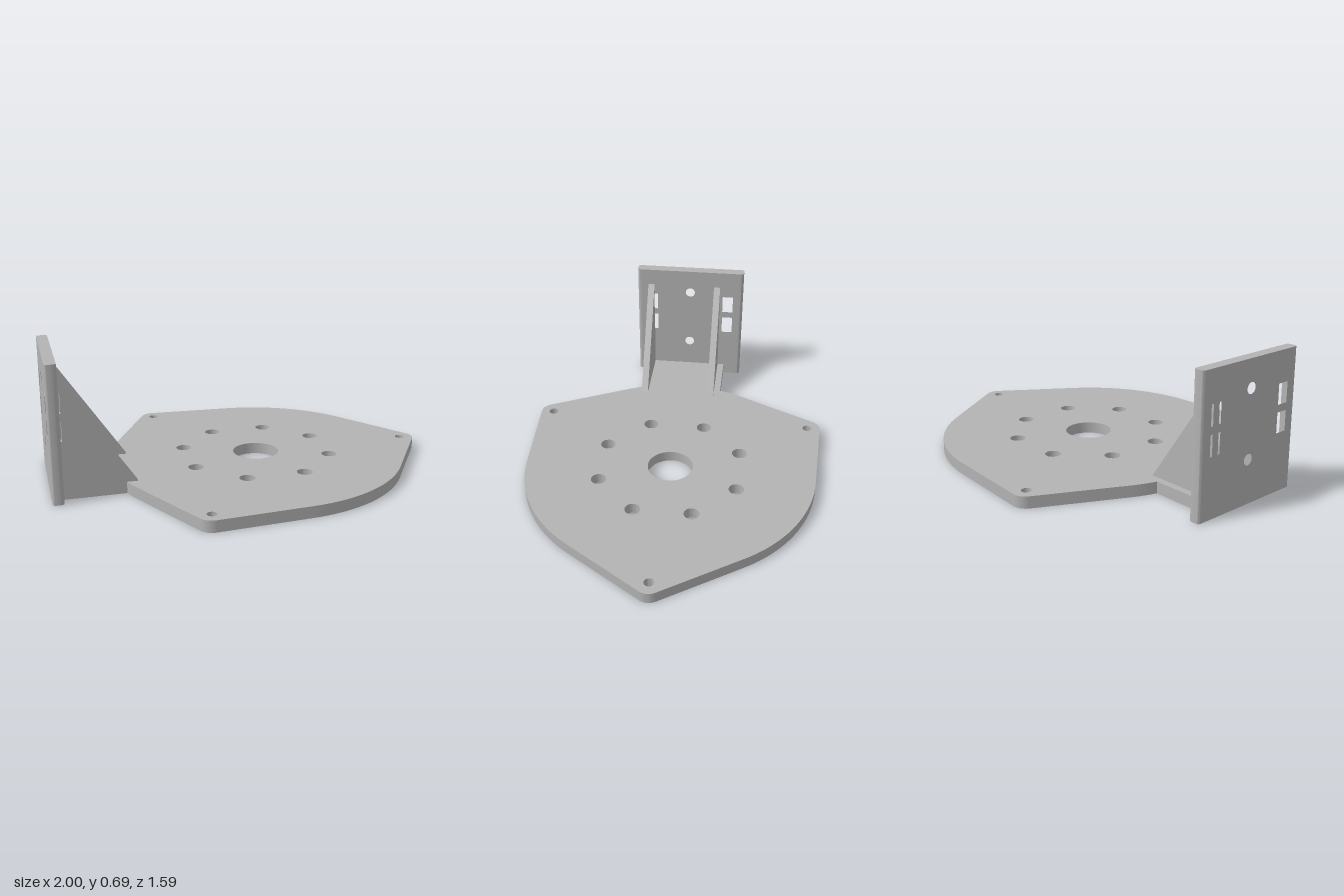
import * as THREE from 'three';
import { toCreasedNormals } from 'three/addons/utils/BufferGeometryUtils.js';

const grey = new THREE.MeshStandardMaterial({ color: 0xb3b3b3 });
grey.name = 'grey';

const extrude = (shape, depth) => toCreasedNormals(
  new THREE.ExtrudeGeometry(shape, { depth, bevelEnabled: false, curveSegments: 28 }), 0.5);

const part = (name, geometry) => {
  const mesh = new THREE.Mesh(geometry, grey);
  mesh.name = name;
  return mesh;
};

const circle = (x, y, r) => new THREE.Path().absarc(x, y, r, 0, Math.PI * 2, true);

const rect = (x0, y0, x1, y1) => new THREE.Path([
  [x0, y0], [x0, y1], [x1, y1], [x1, y0], [x0, y0],
].map(p => new THREE.Vector2(...p)));

// Three-cornered base: a large disc blended by tangents into three small lobes
function basePlate() {
  const cx = 0.09, R = 0.77, lobe = 0.07, reach = 0.84;
  const phi = Math.acos((R - lobe) / reach);
  const third = Math.PI * 2 / 3;
  const shape = new THREE.Shape();
  for (let k = 0; k < 3; k++) {
    const a = k * third;
    const hx = cx + reach * Math.cos(a), hy = reach * Math.sin(a);
    shape.absarc(hx, hy, lobe, a - phi, a + phi, false);
    if (k === 1) {
      // Tongue that reaches back to the upright panel
      const a0 = Math.PI - Math.asin(0.214 / R), a1 = Math.PI + Math.asin(0.251 / R);
      shape.absarc(cx, 0, R, a + phi, a0, false);
      shape.lineTo(-0.95, 0.214);
      shape.lineTo(-0.95, -0.251);
      shape.absarc(cx, 0, R, a1, a + third - phi, false);
    } else {
      shape.absarc(cx, 0, R, a + phi, a + third - phi, false);
    }
    shape.holes.push(circle(hx, hy, 0.025));
  }
  // Centre bore and ring of eight holes
  shape.holes.push(circle(cx, 0, 0.12));
  for (let i = 0; i < 8; i++) {
    const a = (i + 0.5) * Math.PI / 4;
    shape.holes.push(circle(cx + 0.39 * Math.cos(a), 0.39 * Math.sin(a), 0.04));
  }
  return extrude(shape, 0.059).rotateX(-Math.PI / 2);
}

const windows = [[0.294, 0.394], [0.431, 0.531]];
const H = 0.686, T = 0.056, INNER = 0.29, OUTER = 0.313;

// Upright panel with screw holes and slots
function panelBody() {
  const shape = new THREE.Shape(rect(-INNER, 0, INNER, H).getPoints());
  for (const y of [0.217, 0.55]) shape.holes.push(circle(0, y, 0.027));
  for (const [y0, y1] of windows) {
    shape.holes.push(rect(-0.255, y0, -0.194, y1), rect(0.194, y0, 0.255, y1));
  }
  return extrude(shape, T).rotateY(Math.PI / 2).translate(-1, 0, 0);
}

// Rounded vertical end of the panel
function panelEnd(side) {
  const r = 0.018;
  const shape = new THREE.Shape();
  shape.moveTo(-1, INNER * side);
  shape.lineTo(-1 + T, INNER * side);
  shape.lineTo(-1 + T, (OUTER - r) * side);
  shape.quadraticCurveTo(-1 + T, OUTER * side, -1 + T - r, OUTER * side);
  shape.lineTo(-1 + r, OUTER * side);
  shape.quadraticCurveTo(-1, OUTER * side, -1, (OUTER - r) * side);
  return extrude(shape, H).rotateX(-Math.PI / 2);
}

// Triangular brace, optionally relieved where the slots pass it
function brace(z, notched) {
  const x = -1 + T;
  const shape = new THREE.Shape();
  shape.moveTo(x, 0.04);
  shape.lineTo(-0.583, 0.04);
  shape.lineTo(-0.583, 0.059);
  shape.lineTo(x, 0.592);
  if (notched) {
    for (const [y0, y1] of [...windows].reverse()) {
      shape.lineTo(x, y1);
      shape.lineTo(x + 0.009, y1);
      shape.lineTo(x + 0.009, y0);
      shape.lineTo(x, y0);
    }
  }
  return extrude(shape, 0.037).translate(0, 0, z);
}

export function createModel() {
  const model = new THREE.Group();
  model.name = 'mountingBracket';
  model.add(part('basePlate', basePlate()));

  const panel = new THREE.Group();
  panel.name = 'uprightPanel';
  panel.add(part('panelBody', panelBody()));
  panel.add(part('panelEndFront', panelEnd(-1)), part('panelEndBack', panelEnd(1)));
  model.add(panel);

  model.add(part('braceFront', brace(0.214, true)));
  model.add(part('braceBack', brace(-0.177, false)));
  return model;
}
